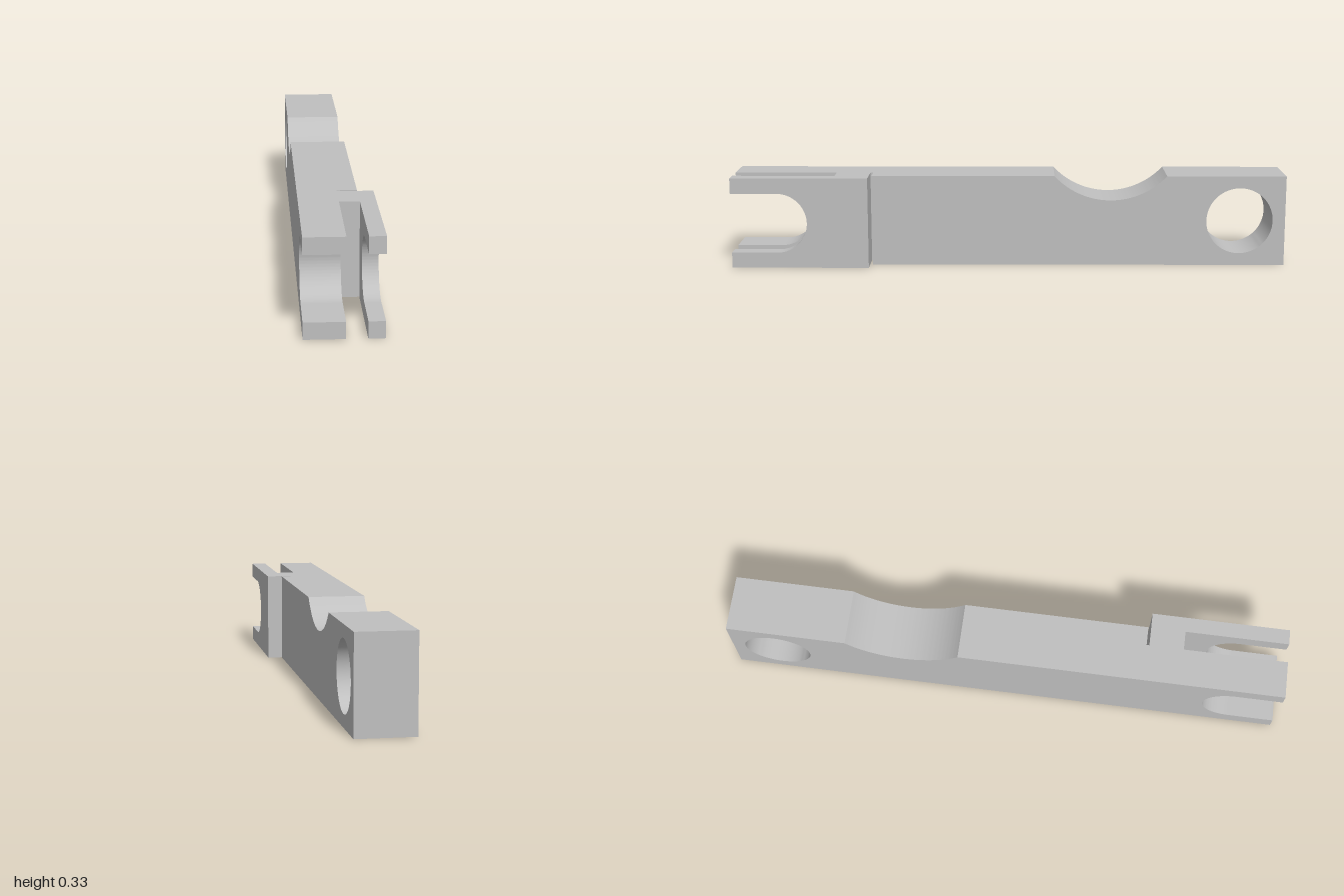
import * as THREE from 'three';
import { toCreasedNormals } from 'three/addons/utils/BufferGeometryUtils.js';

const H = 0.328, MID = H / 2;
const LEFT = 0.127, GAP_LEFT = 0.073, GAP_RIGHT = 0.005, RIGHT = -0.128;

const steel = new THREE.MeshStandardMaterial({ color: 0xc0c0c0 });
steel.name = 'plain grey';

// Extrudes a side profile drawn in (z, y) across the width from x0 to x1
function slab(name, shape, x0, x1) {
  const g = new THREE.ExtrudeGeometry(shape, { depth: x1 - x0, bevelEnabled: false, curveSegments: 32 });
  g.rotateY(-Math.PI / 2).translate(x1, 0, 0);
  const mesh = new THREE.Mesh(toCreasedNormals(g, 0.5), steel);
  mesh.name = name;
  return mesh;
}

// Bar profile with a round saddle in the top edge and a pin hole near the back
function barProfile() {
  const s = new THREE.Shape();
  const zc = -0.367, half = 0.203, depth = 0.089;
  const r = (half * half + depth * depth) / (2 * depth);
  const a = Math.asin(half / r);
  s.moveTo(-1, 0);
  s.lineTo(0.497, 0);
  s.lineTo(0.497, H);
  s.lineTo(zc + half, H);
  s.absarc(zc, H - depth + r, r, -Math.PI / 2 + a, -Math.PI / 2 - a, true);
  s.lineTo(-1, H);
  s.closePath();
  const hole = new THREE.Path();
  hole.absarc(-0.835, MID, 0.12, 0, Math.PI * 2, true);
  s.holes.push(hole);
  return s;
}

// Fork profile with a round-ended slot open to the front
function forkProfile(back) {
  const s = new THREE.Shape();
  const r = 0.108;
  s.moveTo(back, 0);
  s.lineTo(1, 0);
  s.lineTo(1, MID - r);
  s.lineTo(0.835, MID - r);
  s.absarc(0.835, MID, r, -Math.PI / 2, Math.PI / 2, true);
  s.lineTo(1, MID + r);
  s.lineTo(1, H);
  s.lineTo(back, H);
  s.closePath();
  return s;
}

export function createModel() {
  const group = new THREE.Group();
  group.name = 'forkedLinkBar';
  group.add(slab('bar', barProfile(), RIGHT, GAP_LEFT));
  group.add(slab('wideFork', forkProfile(0.497), RIGHT, GAP_RIGHT));
  group.add(slab('thinFork', forkProfile(0.507), GAP_LEFT, LEFT));

  // Bridge joining the two forks, behind the open gap
  const bridge = new THREE.Mesh(new THREE.BoxGeometry(GAP_LEFT - GAP_RIGHT, H, 0.123), steel);
  bridge.position.set((GAP_LEFT + GAP_RIGHT) / 2, MID, 0.5685);
  bridge.name = 'forkBridge';
  group.add(bridge);
  return group;
}
